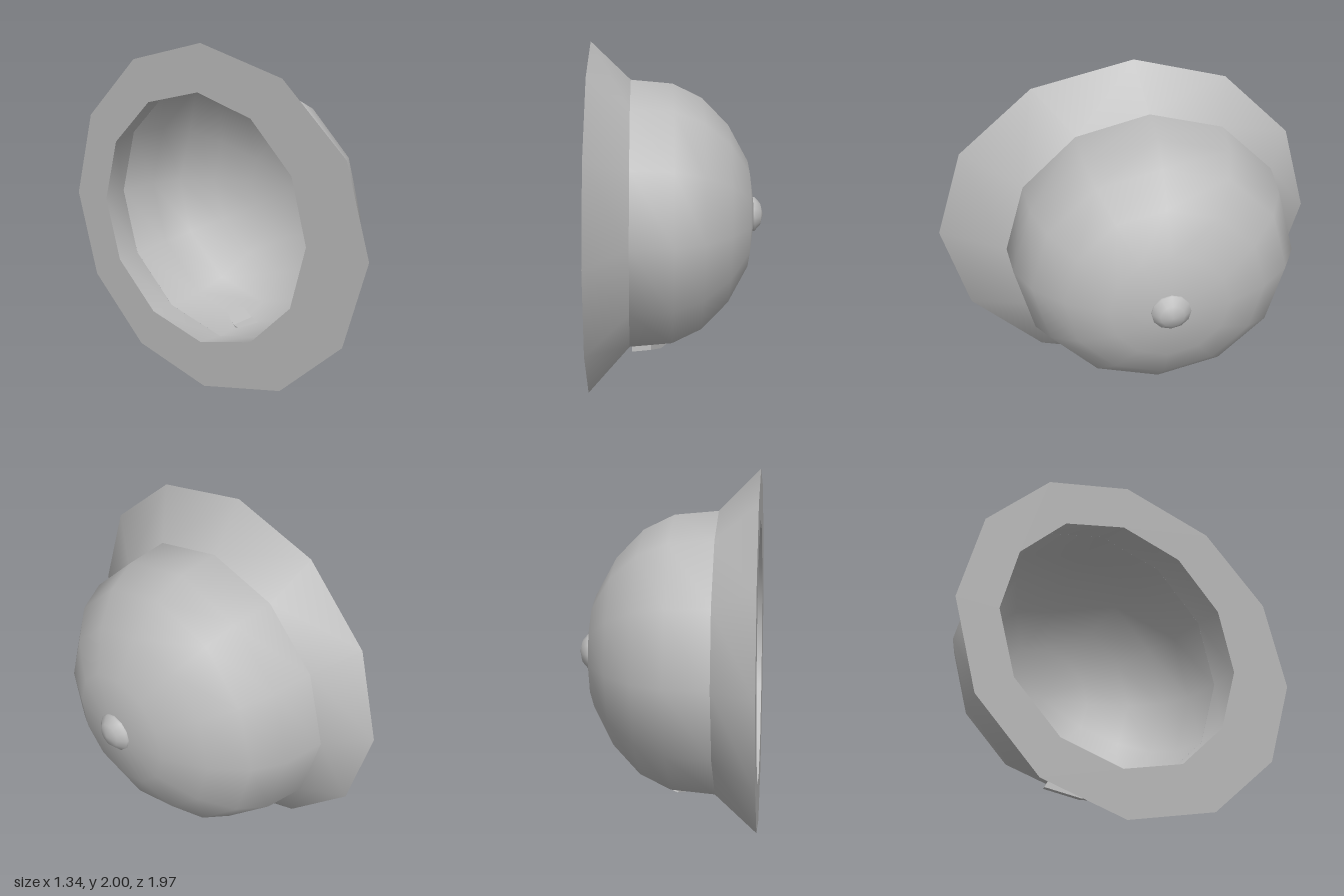
import * as THREE from 'three';
import { mergeVertices } from 'three/addons/utils/BufferGeometryUtils.js';

const SIDES = 12;

// Skin between oval rings; each ring is [height, front reach, back reach, half width]
function loft(rings) {
  const pos = [], index = [];
  rings.forEach(([h, front, back, side], r) => {
    for (let i = 0; i < SIDES; i++) {
      const a = (i / SIDES) * Math.PI * 2, c = Math.cos(a);
      const mid = (front - back) / 2, half = (front + back) / 2;
      // rings with unequal reach keep their widest point at the shared centre
      const x = side > 0.9 ? c * (c > 0 ? front : back) : mid + half * c;
      pos.push(x, h, side * Math.sin(a));
      if (r < rings.length - 1) {
        const p = r * SIDES + i, q = r * SIDES + (i + 1) % SIDES;
        index.push(p, p + SIDES, q, q, p + SIDES, q + SIDES);
      }
    }
  });
  let g = new THREE.BufferGeometry();
  g.setAttribute('position', new THREE.Float32BufferAttribute(pos, 3));
  g.setIndex(index);
  g = mergeVertices(g, 1e-5);
  g.computeVertexNormals();
  return g;
}

// Round ring centred slightly behind the brim's centre
const ring = (h, r) => [h, r - 0.052, r + 0.052, r * 0.975];

export function createModel() {
  const model = new THREE.Group();
  model.name = 'helmet';
  const grey = new THREE.MeshStandardMaterial({ color: 0xbbbbbb });
  grey.name = 'grey metal';

  const add = (parent, name, geometry) => {
    const mesh = new THREE.Mesh(geometry, grey);
    mesh.name = name;
    parent.add(mesh);
  };

  // Helmet tipped on its side: local y is the crown axis, local x the front
  const shell = new THREE.Group();
  shell.name = 'shell';
  const front = new THREE.Vector3(0.409, 0, 0.912).normalize();
  const crown = new THREE.Vector3(0.912, 0, -0.409).normalize();
  shell.quaternion.setFromRotationMatrix(
    new THREE.Matrix4().makeBasis(front, crown, new THREE.Vector3(0, 1, 0)));
  shell.position.set(-0.255, 1, -0.04);
  model.add(shell);

  const profile = [[0.223, 0.8], [0.46, 0.778], [0.627, 0.695],
    [0.779, 0.536], [0.896, 0.32], [0.945, 0]];
  add(shell, 'dome', loft(profile.map(([h, r]) => ring(h, r))));

  // Brim, wider at the front
  const rim = [0, 1.118, 1.02, 1], hole = [0, 0.725, 0.775, 0.73];
  add(shell, 'brimTop', loft([rim, ring(0.223, 0.8)]));
  add(shell, 'brimUnderside', loft([hole, rim]));

  // Hollow inside
  add(shell, 'innerWall', loft([ring(0.205, 0.785), hole]));
  const inner = profile.map(([h, r]) => ring(h - 0.018, r * 0.981)).reverse();
  add(shell, 'lining', loft(inner));

  // Low round knob on the crown
  add(shell, 'crownKnob', loft([ring(0.92, 0.105), ring(0.94, 0.105),
    ring(0.975, 0.065), ring(0.992, 0)]));

  // Bent side clip under the dome, drawn in side profile and sheared to the slope
  const clip = new THREE.Shape([[-0.05, 0.24], [0.1, 0.2], [0.25, 0.2], [0.45, 0.255],
    [0.43, 0.295], [0.25, 0.255], [0.1, 0.255], [-0.04, 0.285]]
    .map(([x, y]) => new THREE.Vector2(x, y)));
  const clipGeometry = new THREE.ExtrudeGeometry(clip, { depth: 0.12, bevelEnabled: false });
  clipGeometry.rotateY(Math.PI / 2).translate(0.04, 0, 0);
  const p = clipGeometry.attributes.position;
  for (let i = 0; i < p.count; i++) p.setY(i, p.getY(i) + (p.getX(i) - 0.04) * 0.25);
  clipGeometry.computeVertexNormals();
  add(model, 'sideClip', clipGeometry);

  return model;
}
